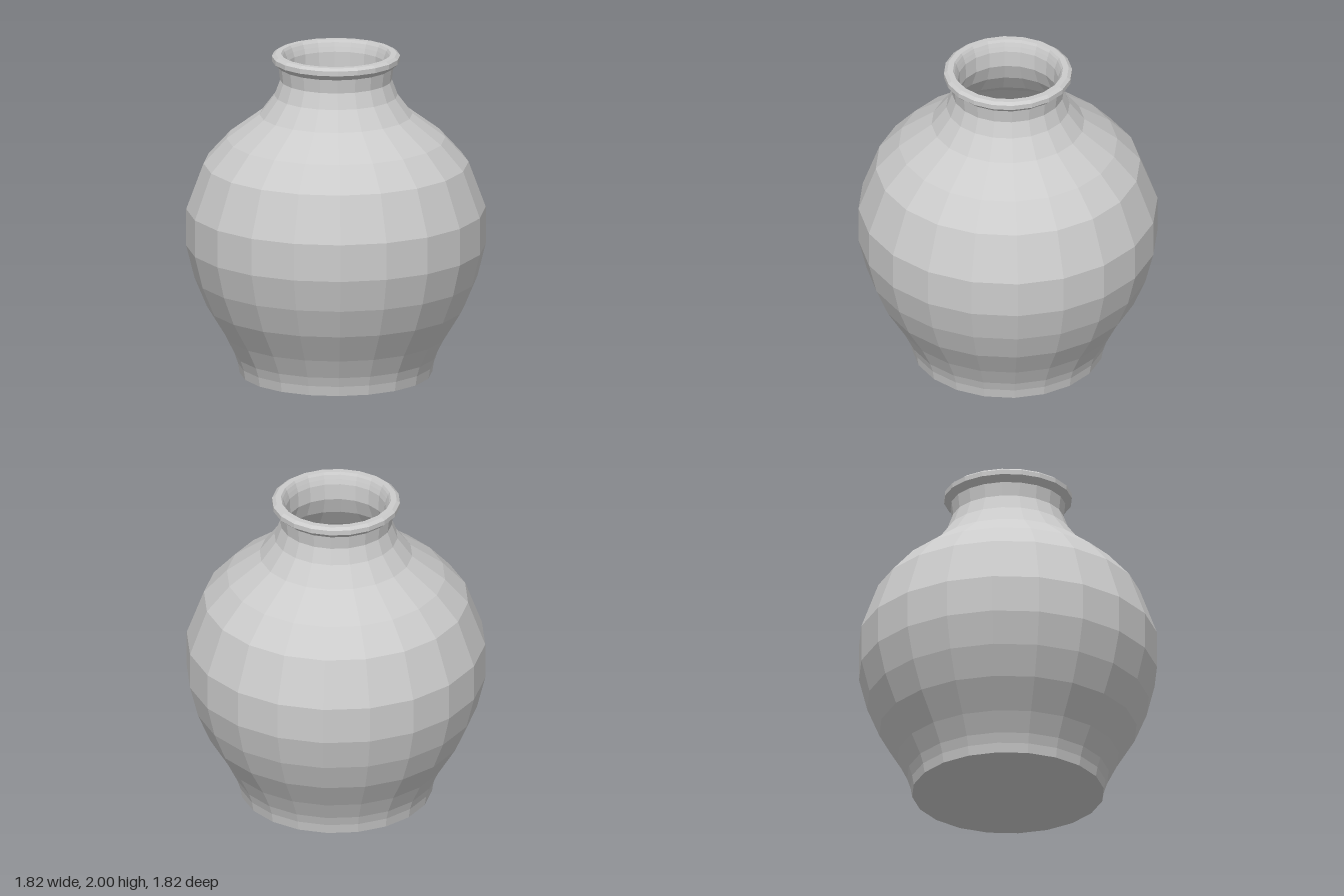
import * as THREE from 'three';

const SIDES = 20;

// Wall profile, bottom to top: [outer radius, outer y, inner radius, inner y]
const PROFILE = [
  [0, 0, 0, 0.05],
  [0.585, 0, 0.55, 0.05],
  [0.595, 0.06, 0.555, 0.08],
  [0.615, 0.12, 0.575, 0.13],
  [0.675, 0.24, 0.635, 0.255],
  [0.785, 0.42, 0.745, 0.44],
  [0.86, 0.6, 0.82, 0.615],
  [0.91, 0.8, 0.87, 0.805],
  [0.91, 1.03, 0.87, 1.02],
  [0.805, 1.315, 0.77, 1.29],
  [0.665, 1.47, 0.635, 1.44],
  [0.465, 1.62, 0.44, 1.585],
  [0.375, 1.74, 0.34, 1.72],
  [0.34, 1.835, 0.3, 1.83],
  [0.35, 1.92, 0.305, 1.93],
  [0.39, 1.955, 0.315, 1.96],
  [0.39, 1.985, 0.325, 1.985],
  [0.37, 2, 0.335, 2],
];

// Each shard owns the region where its linear function ax + by + cz + d is largest
const SHARDS = {
  frontBodyShard: [0, 0, 0, 0],
  rightBodyShard: [-0.814, 0.353, -0.429, -0.451],
  backBodyShard: [0.045, 0, -0.903, -0.067],
  leftBodyShard: [0.35, 0.3, -0.81, -0.39],
  backNeckShard: [0.06, 1.01, -0.59, -1.17],
  frontNeckShard: [-0.161, 1, -0.143, -1.163],
  backShoulderShard: [0.145, 0.63, -0.66, -0.58],
};

// One convex block of the wall; only faces marked keep are surfaces
function wallBlock(i, j) {
  const at = (ring, side, inner) => {
    const [r, y] = PROFILE[ring].slice(inner ? 2 : 0);
    const a = (side % SIDES) * 2 * Math.PI / SIDES;
    return new THREE.Vector3(r * Math.sin(a), y, r * Math.cos(a));
  };
  const [o0, o1, o2, o3] = [at(i, j), at(i, j + 1), at(i + 1, j + 1), at(i + 1, j)];
  const [n0, n1, n2, n3] = [at(i, j, 1), at(i, j + 1, 1), at(i + 1, j + 1, 1), at(i + 1, j, 1)];
  return [
    { pts: [o0, o1, o2, o3], keep: true },
    { pts: [n3, n2, n1, n0], keep: true },
    { pts: [o3, o2, n2, n3], keep: i === PROFILE.length - 2 }, // lip
    { pts: [o0, n0, n1, o1], keep: false },
    { pts: [o0, o3, n3, n0], keep: false },
    { pts: [o1, n1, n2, o2], keep: false },
  ];
}

// Cut a convex block, keeping normal·p + d >= 0 and closing the cut with a cap
function cutBlock(faces, normal, d) {
  const height = (p) => normal.dot(p) + d;
  const rim = [];
  const result = [];
  for (const { pts, keep } of faces) {
    const out = [];
    pts.forEach((p, k) => {
      const q = pts[(k + 1) % pts.length];
      const hp = height(p), hq = height(q);
      if (hp >= 0) out.push(p);
      if ((hp >= 0) !== (hq >= 0)) {
        const c = p.clone().lerp(q, hp / (hp - hq));
        out.push(c);
        if (!rim.some((r) => r.distanceTo(c) < 1e-6)) rim.push(c);
      }
    });
    if (out.length > 2) result.push({ pts: out, keep });
  }
  if (rim.length > 2) {
    const n = normal.clone().negate().normalize();
    const mid = rim.reduce((s, p) => s.add(p), new THREE.Vector3()).divideScalar(rim.length);
    const u = rim[0].clone().sub(mid).normalize();
    const v = n.clone().cross(u);
    const angle = (p) => Math.atan2(p.clone().sub(mid).dot(v), p.clone().sub(mid).dot(u));
    rim.sort((a, b) => angle(a) - angle(b));
    result.push({ pts: rim, keep: true });
  }
  return result;
}

// All wall blocks cut down to one shard's region
function shardGeometry(own) {
  const positions = [];
  const cuts = Object.values(SHARDS).filter((s) => s !== own).map((s) => ({
    normal: new THREE.Vector3(own[0] - s[0], own[1] - s[1], own[2] - s[2]),
    d: own[3] - s[3],
  }));
  for (let i = 0; i < PROFILE.length - 1; i++) {
    for (let j = 0; j < SIDES; j++) {
      let faces = wallBlock(i, j);
      for (const { normal, d } of cuts) faces = cutBlock(faces, normal, d);
      for (const { pts, keep } of faces) {
        if (!keep) continue;
        for (let k = 1; k < pts.length - 1; k++) {
          const tri = new THREE.Triangle(pts[0], pts[k], pts[k + 1]);
          if (tri.getArea() < 1e-10) continue;
          for (const p of [tri.a, tri.b, tri.c]) positions.push(p.x, p.y, p.z);
        }
      }
    }
  }
  const geometry = new THREE.BufferGeometry();
  geometry.setAttribute('position', new THREE.Float32BufferAttribute(positions, 3));
  geometry.computeVertexNormals();
  return geometry;
}

export function createModel() {
  const vase = new THREE.Group();
  vase.name = 'crackedVase';
  const material = new THREE.MeshStandardMaterial({ color: 0xcccccc, flatShading: true });
  for (const [name, own] of Object.entries(SHARDS)) {
    const shard = new THREE.Mesh(shardGeometry(own), material);
    shard.name = name;
    vase.add(shard);
  }
  return vase;
}
